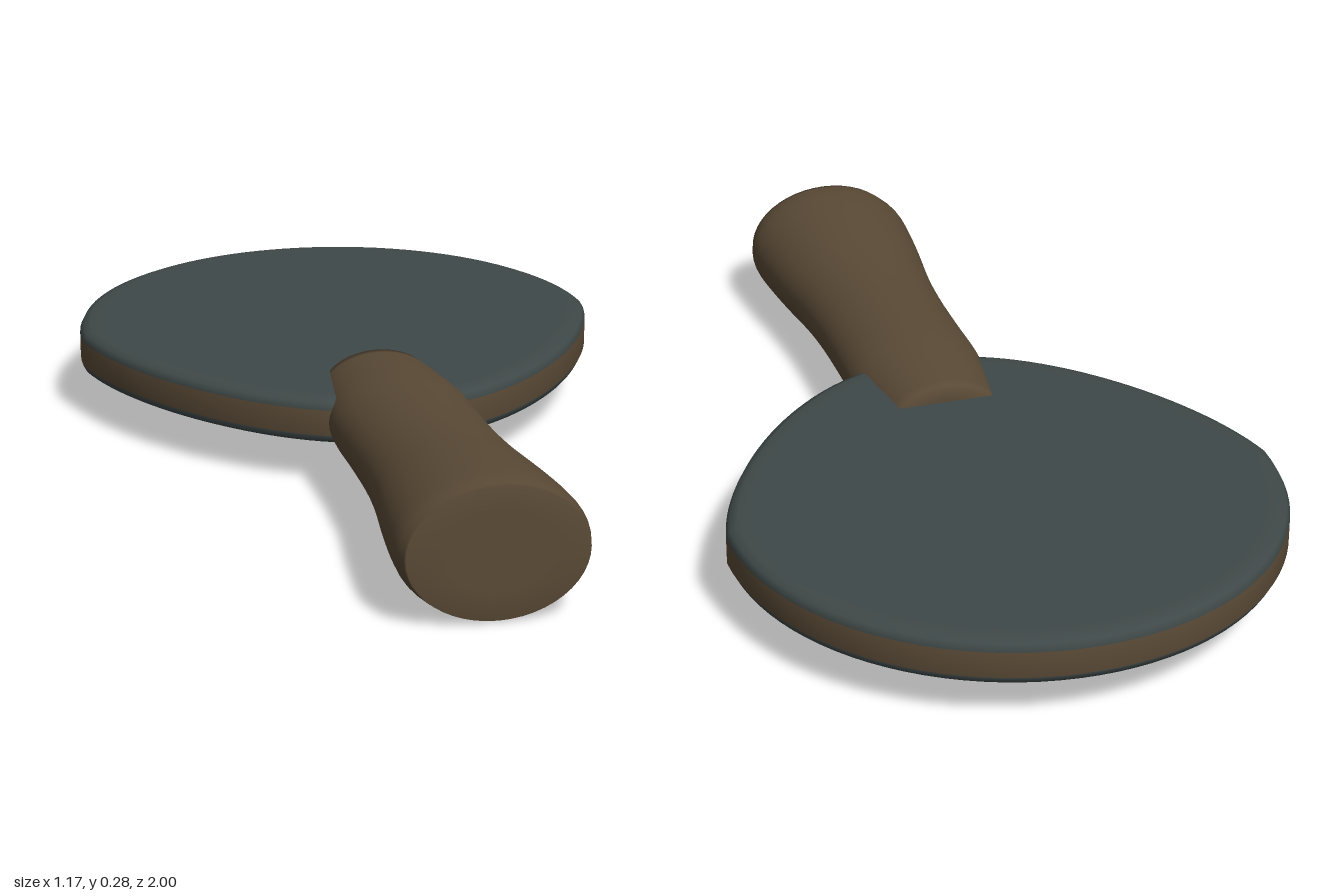
import * as THREE from 'three';

const MID_Y = 0.14; // height of the paddle's middle plane

// Skins closed rings of equal length, capped at both ends.
// materialOf lists a material index for: first cap, each band, last cap.
function loft(rings, materialOf) {
  const n = rings[0].length;
  const positions = [];
  rings.forEach(ring => ring.forEach(p => positions.push(p.x, p.y, p.z)));
  const centres = [rings[0], rings[rings.length - 1]].map(ring => {
    const box = new THREE.Box3().setFromPoints(ring);
    const c = box.getCenter(new THREE.Vector3());
    positions.push(c.x, c.y, c.z);
    return positions.length / 3 - 1;
  });
  const index = [];
  const geometry = new THREE.BufferGeometry();
  let start = 0;
  const closeGroup = slot => {
    geometry.addGroup(start, index.length - start, materialOf ? materialOf[slot] : 0);
    start = index.length;
  };
  for (let j = 0; j < n; j++) index.push(centres[0], (j + 1) % n, j);
  closeGroup(0);
  for (let i = 0; i < rings.length - 1; i++) {
    for (let j = 0; j < n; j++) {
      const k = (j + 1) % n;
      const a = i * n + j, b = i * n + k;
      index.push(a, b, a + n, b, b + n, a + n);
    }
    closeGroup(i + 1);
  }
  const last = (rings.length - 1) * n;
  for (let j = 0; j < n; j++) index.push(centres[1], last + j, last + (j + 1) % n);
  closeGroup(rings.length);
  geometry.setIndex(index);
  geometry.setAttribute('position', new THREE.Float32BufferAttribute(positions, 3));
  geometry.computeVertexNormals();
  return geometry;
}

export function createModel() {
  const wood = new THREE.MeshStandardMaterial({ name: 'brown wood', color: 0x5a4a36 });
  const rubber = new THREE.MeshStandardMaterial({ name: 'dark slate rubber', color: 0x3f4848 });
  const group = new THREE.Group();
  group.name = 'paddle';

  // Blade outline: round far end, tapering towards the handle
  const outline = new THREE.Path();
  outline.moveTo(-0.14, -0.2);
  outline.lineTo(0.14, -0.2);
  outline.bezierCurveTo(0.34, -0.12, 0.54, 0.16, 0.585, 0.4);
  outline.absellipse(0, 0.4, 0.585, 0.6, 0, Math.PI, false);
  outline.bezierCurveTo(-0.54, 0.16, -0.34, -0.12, -0.14, -0.2);
  const points = outline.getPoints(24).slice(0, -1)
    .filter((p, i, all) => i === 0 || p.distanceTo(all[i - 1]) > 1e-4);

  // Blade: wooden rim between two bevelled rubber faces
  const bladeRing = (y, inset) => points.map(p => {
    const s = 1 - inset / 0.59;
    return new THREE.Vector3(p.x * s, y, -(0.4 + (p.y - 0.4) * s));
  });
  const bladeRings = [
    [0.09, 0.05], [0.09, 0.025], [0.097, 0.008], [0.112, 0],
    [0.168, 0], [0.183, 0.008], [0.19, 0.025], [0.19, 0.05],
  ].map(([y, inset]) => bladeRing(y, inset));
  const blade = new THREE.Mesh(
    loft(bladeRings, [1, 1, 1, 1, 0, 1, 1, 1, 1]), [wood, rubber]);
  blade.name = 'blade';
  group.add(blade);

  // Handle: oval sections (half width, half height, z) flaring to the butt
  const profile = new THREE.CatmullRomCurve3([
    [0.126, 0.09, -0.005], [0.14, 0.098, 0.1], [0.152, 0.106, 0.22], [0.151, 0.11, 0.36],
    [0.152, 0.114, 0.5], [0.16, 0.121, 0.63], [0.178, 0.132, 0.78],
    [0.19, 0.139, 0.91], [0.19, 0.139, 0.96], [0.18, 0.135, 1],
  ].map(p => new THREE.Vector3(...p)));
  const sections = profile.getPoints(36);
  // Inner rings keep both end faces flat
  const shrink = (p, s) => new THREE.Vector3(p.x * s, p.y * s, p.z);
  sections.unshift(shrink(sections[0], 0.6));
  sections.push(shrink(sections[sections.length - 1], 0.6));
  const handleRings = sections.map(p => Array.from({ length: 48 }, (_, j) => {
    const a = j / 48 * Math.PI * 2;
    return new THREE.Vector3(Math.cos(a) * p.x, MID_Y + Math.sin(a) * p.y, p.z);
  }));
  const handle = new THREE.Mesh(loft(handleRings), wood);
  handle.name = 'handle';
  group.add(handle);

  return group;
}
